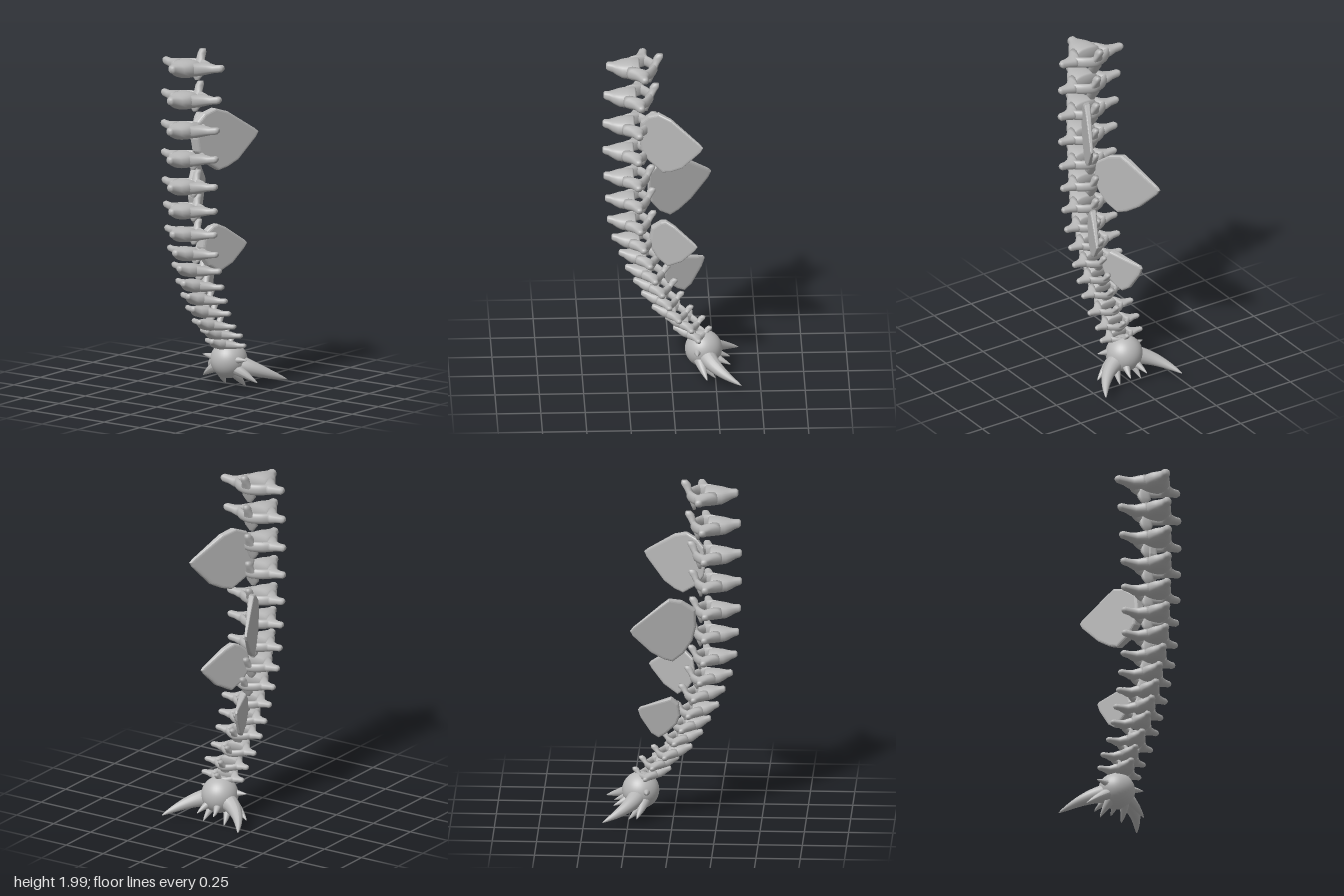
import * as THREE from 'three';

const bone = new THREE.MeshStandardMaterial({ color: 0xb8b8b8 });
bone.name = 'bone grey';

// Loft of rounded cross-sections [t, u, v, ru, rv] along an axis (0 = x, 1 = y, 2 = z)
function loft(axis, sections, power = 2.4, sides = 20) {
  const pos = [], idx = [];
  const put = (t, u, v) => {
    const p = [0, 0, 0];
    p[axis] = t; p[(axis + 1) % 3] = u; p[(axis + 2) % 3] = v;
    pos.push(...p);
  };
  const round = c => Math.sign(c) * Math.pow(Math.abs(c), 2 / power);
  for (const [t, u, v, ru, rv] of sections)
    for (let i = 0; i < sides; i++) {
      const a = i / sides * Math.PI * 2;
      put(t, u + ru * round(Math.cos(a)), v + rv * round(Math.sin(a)));
    }
  const n = sections.length;
  for (let s = 0; s < n - 1; s++)
    for (let i = 0; i < sides; i++) {
      const a = s * sides + i, b = s * sides + (i + 1) % sides;
      idx.push(a, b, b + sides, a, b + sides, a + sides);
    }
  const first = sections[0], last = sections[n - 1];
  put(first[0], first[1], first[2]);
  put(last[0], last[1], last[2]);
  for (let i = 0; i < sides; i++) {
    const j = (i + 1) % sides, e = (n - 1) * sides;
    idx.push(n * sides, j, i, n * sides + 1, e + i, e + j);
  }
  const g = new THREE.BufferGeometry();
  g.setAttribute('position', new THREE.Float32BufferAttribute(pos, 3));
  g.setIndex(idx);
  g.computeVertexNormals();
  return g;
}

// Tapering curved spike
function spike(base, bend, tip, r) {
  const curve = new THREE.QuadraticBezierCurve3(...[base, bend, tip].map(p => new THREE.Vector3(...p)));
  const seg = 16, rad = 16;
  const g = new THREE.TubeGeometry(curve, seg, r, rad);
  const p = g.attributes.position, v = new THREE.Vector3();
  for (let i = 0; i < p.count; i++) {
    const t = Math.floor(i / (rad + 1)) / seg;
    const c = curve.getPointAt(t);
    v.fromBufferAttribute(p, i).sub(c).multiplyScalar(Math.pow(1 - t, 0.8) * 0.97 + 0.03).add(c);
    p.setXYZ(i, v.x, v.y, v.z);
  }
  g.computeVertexNormals();
  return g;
}

// Back plate: outline of [z, y], thinning and leaning outwards towards its rear tip
function plate(outline, xFront, xTip) {
  const shape = new THREE.Shape(outline.map(([z, y]) => new THREE.Vector2(-z, y)));
  const g = new THREE.ExtrudeGeometry(shape, {
    depth: 0.024, bevelThickness: 0.012, bevelSize: 0.014, bevelOffset: -0.014, bevelSegments: 3
  });
  g.translate(0, 0, -0.012).rotateY(Math.PI / 2);
  const zs = outline.map(p => p[0]), front = Math.max(...zs), back = Math.min(...zs);
  const p = g.attributes.position;
  for (let i = 0; i < p.count; i++) {
    const k = (front - p.getZ(i)) / (front - back);
    p.setX(i, p.getX(i) * (1.15 - 0.75 * k) + xFront + (xTip - xFront) * k);
  }
  g.computeVertexNormals();
  return g;
}

export function createModel() {
  const model = new THREE.Group();
  model.name = 'spikedTail';
  const add = (parent, geometry, name) => {
    const m = new THREE.Mesh(geometry, bone);
    m.name = name;
    parent.add(m);
    return m;
  };

  // Shared vertebra parts, centred on the vertebral body
  const body = loft(2, [
    [-0.055, 0, 0.005, 0.075, 0.035], [-0.045, 0, 0.003, 0.085, 0.045], [0.0, 0, 0, 0.083, 0.052],
    [0.045, 0, 0, 0.072, 0.046], [0.075, 0, 0.004, 0.052, 0.036], [0.1, 0, 0.01, 0.03, 0.028],
    [0.125, 0, 0.015, 0.025, 0.024], [0.135, 0, 0.015, 0.016, 0.015]]);
  const wing = [[0.065, 0, -0.012, 0.04, 0.04], [0.09, 0, -0.045, 0.037, 0.06], [0.12, 0.001, -0.066, 0.03, 0.042],
    [0.155, 0.004, -0.07, 0.023, 0.028], [0.195, 0.01, -0.078, 0.022, 0.022], [0.208, 0.012, -0.08, 0.013, 0.014]];
  const leftWing = loft(0, wing);
  const rightWing = loft(0, wing.map(([x, ...rest]) => [-x, ...rest]).reverse());
  const arch = new THREE.TubeGeometry(new THREE.CatmullRomCurve3(
    [[-0.11, -0.078], [-0.065, -0.115], [0, -0.138], [0.065, -0.115], [0.11, -0.078]]
      .map(([x, z]) => new THREE.Vector3(x, 0, z))), 24, 0.019, 10);
  arch.scale(1, 1.7, 1);
  const neural = loft(1, [
    [-0.085, -0.113, 0, 0.008, 0.014], [-0.05, -0.115, 0, 0.019, 0.042], [0, -0.13, 0, 0.023, 0.04],
    [0.035, -0.148, 0, 0.021, 0.024], [0.065, -0.16, 0, 0.027, 0.021], [0.085, -0.168, 0, 0.018, 0.016]]);

  // Vertebrae: [height, front z], shrinking and tipping back towards the tail end
  const rows = [[1.915, 0.365], [1.735, 0.38], [1.56, 0.385], [1.395, 0.385], [1.235, 0.38],
    [1.095, 0.37], [0.96, 0.36], [0.845, 0.335], [0.745, 0.295], [0.65, 0.26],
    [0.565, 0.215], [0.485, 0.17], [0.4, 0.11], [0.335, 0.035], [0.27, -0.01]];
  rows.forEach(([y, z], i) => {
    const s = 1 - 0.33 * i / 14;
    const v = new THREE.Group();
    v.name = 'vertebra' + (i + 1);
    add(v, body, 'vertebralBody');
    add(v, leftWing, 'leftProcess');
    add(v, rightWing, 'rightProcess');
    add(v, arch, 'arch');
    add(v, neural, 'rearProcess');
    v.scale.set(s, s * (1 - 0.1 * i / 14), s);
    v.rotation.x = -0.2 * Math.min(1, Math.max(0, (i - 5) / 5));
    v.position.set(0, y, z - 0.135 * s);
    model.add(v);
  });

  // Alternating back plates
  add(model, plate([[0.18, 1.5], [0.17, 1.6], [0.13, 1.645], [0.07, 1.67], [0, 1.645], [-0.155, 1.53], [-0.175, 1.51],
    [-0.16, 1.48], [-0.06, 1.36], [0, 1.325], [0.05, 1.31], [0.13, 1.37], [0.17, 1.43]], 0.02, 0.21), 'plate1');
  add(model, plate([[0.13, 1.15], [0.125, 1.25], [0.05, 1.31], [-0.02, 1.33], [-0.06, 1.305], [-0.22, 1.19], [-0.235, 1.17],
    [-0.22, 1.14], [-0.12, 1.03], [-0.05, 0.98], [0, 0.96], [0.06, 1], [0.11, 1.07]], -0.03, -0.207), 'plate2');
  add(model, plate([[0.12, 0.87], [0.11, 0.94], [0.06, 0.985], [0.03, 0.995], [-0.02, 0.97], [-0.135, 0.88], [-0.145, 0.865],
    [-0.13, 0.84], [-0.06, 0.76], [0.02, 0.715], [0.08, 0.76], [0.11, 0.81]], 0.02, 0.152), 'plate3');
  add(model, plate([[0.04, 0.62], [0.03, 0.69], [-0.01, 0.73], [-0.05, 0.72], [-0.185, 0.69], [-0.195, 0.675],
    [-0.18, 0.63], [-0.12, 0.53], [-0.08, 0.5], [-0.04, 0.52], [0.02, 0.57]], -0.02, -0.115), 'plate4');

  // Tail ball with mirrored spikes
  const ball = add(model, new THREE.SphereGeometry(0.105, 36, 24), 'tailBall');
  ball.position.set(0, 0.165, -0.185);
  for (const s of [1, -1]) {
    const side = s > 0 ? 'left' : 'right';
    const horn = (name, a, b, c, r) =>
      add(model, spike(...[a, b, c].map(([x, y, z]) => [x * s, y, z]), r), side + name);
    horn('LongSpike', [0.05, 0.145, -0.2], [0.17, 0.115, -0.23], [0.257, 0.048, -0.39], 0.055);
    horn('FrontSpike', [0.05, 0.13, -0.16], [0.12, 0.1, -0.17], [0.19, 0.05, -0.2], 0.038);
    horn('LowerSpike', [0.035, 0.12, -0.16], [0.06, 0.07, -0.19], [0.07, 0.01, -0.25], 0.035);
    horn('RearSpike', [0.025, 0.13, -0.24], [0.045, 0.11, -0.28], [0.055, 0.085, -0.337], 0.027);
    horn('SideSpike', [0.06, 0.175, -0.15], [0.1, 0.18, -0.147], [0.153, 0.185, -0.145], 0.026);
  }
  return model;
}
